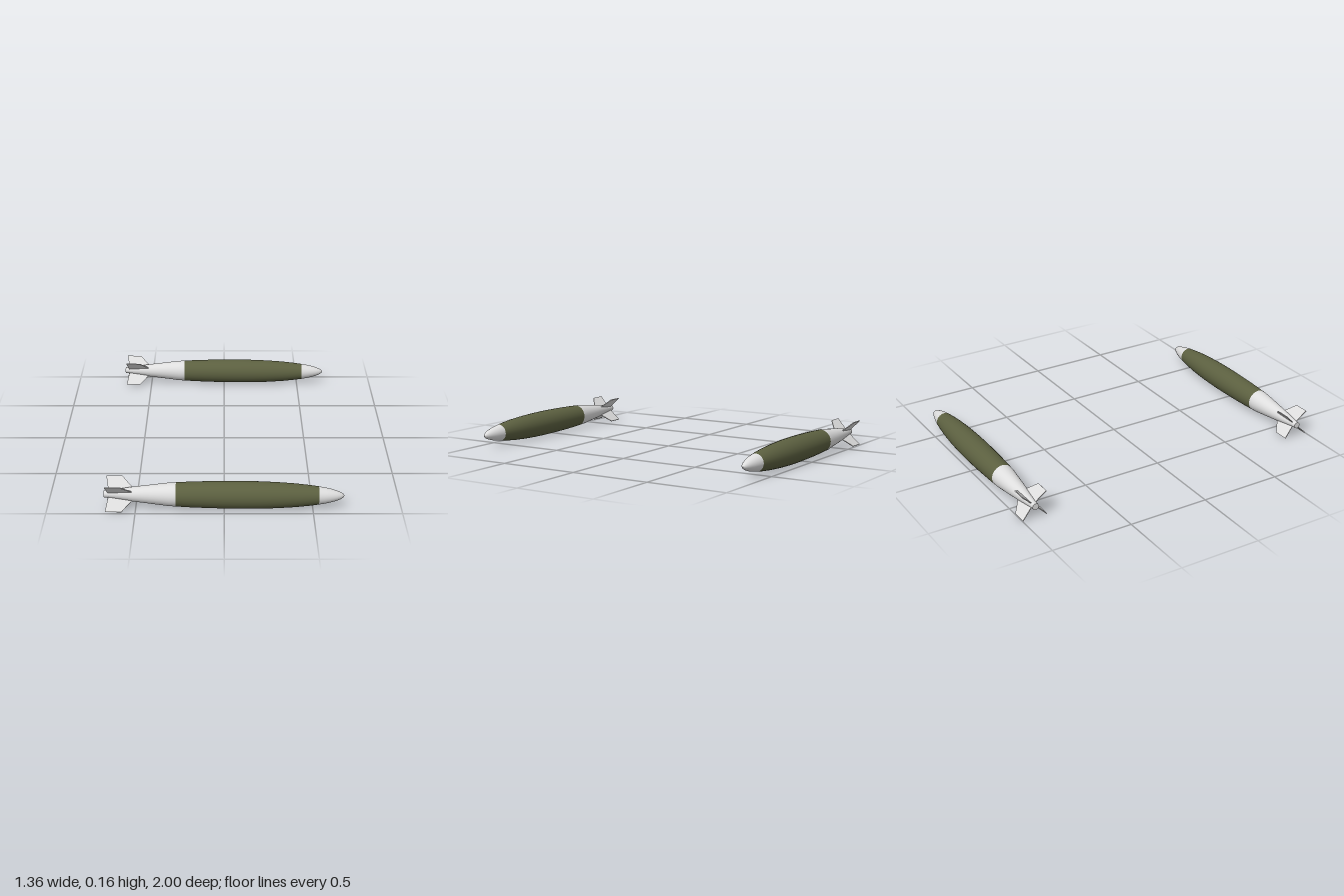
import * as THREE from 'three';

const paintedMetal = new THREE.MeshStandardMaterial({ color: 0xdedede });
paintedMetal.name = 'lightGrey';
const olive = new THREE.MeshStandardMaterial({ color: 0x5c6040 });
olive.name = 'oliveGreen';

// Surface of revolution along +x from [x, radius] pairs, tail to nose
function turned(name, profile, material) {
  const points = profile.map(([x, r]) => new THREE.Vector2(r, x));
  const geometry = new THREE.LatheGeometry(points, 32);
  geometry.rotateZ(-Math.PI / 2);
  const mesh = new THREE.Mesh(geometry, material);
  mesh.name = name;
  return mesh;
}

// Swept tail fin: thin plate whose root sits inside the tail cone
function finGeometry() {
  const thickness = 0.005;
  const shape = new THREE.Shape();
  shape.moveTo(-0.652, 0.012);
  shape.lineTo(-0.668, 0.107);
  shape.lineTo(-0.576, 0.107);
  shape.lineTo(-0.52, 0.042);
  shape.lineTo(-0.52, 0.012);
  shape.closePath();
  const geometry = new THREE.ExtrudeGeometry(shape, { depth: thickness, bevelEnabled: false });
  return geometry.translate(0, 0, -thickness / 2);
}

function createStore(name) {
  const store = new THREE.Group();
  store.name = name;

  // Body sections
  store.add(
    turned('tailCap', [[-0.679, 0], [-0.679, 0.0195]], paintedMetal),
    turned('tailCone', [[-0.679, 0.0195], [-0.652, 0.021], [-0.52, 0.041],
      [-0.31, 0.0665], [-0.272, 0.0685]], paintedMetal),
    turned('midBody', [[-0.272, 0.0685], [-0.2, 0.0722], [-0.1, 0.0757], [0, 0.0777],
      [0.1, 0.0785], [0.2, 0.0772], [0.3, 0.0735], [0.4, 0.067], [0.48, 0.0587],
      [0.533, 0.0515]], olive),
    turned('noseCone', [[0.533, 0.0515], [0.57, 0.0455], [0.605, 0.0375], [0.635, 0.0285],
      [0.657, 0.0195], [0.671, 0.01], [0.678, 0]], paintedMetal)
  );

  // Four fins in an X arrangement
  const geometry = finGeometry();
  for (let i = 0; i < 4; i++) {
    const fin = new THREE.Mesh(geometry, paintedMetal);
    fin.name = `tailFin${i + 1}`;
    fin.rotation.x = Math.PI / 4 + i * Math.PI / 2;
    store.add(fin);
  }
  return store;
}

export function createModel() {
  const model = new THREE.Group();
  model.name = 'storePair';
  // Both hang with a very slight nose-down, nose-forward tilt
  for (const [name, z] of [['frontStore', 0.921], ['rearStore', -0.92]]) {
    const store = createStore(name);
    store.position.set(0, 0.079, z);
    store.rotation.set(0, -0.007, -0.005);
    model.add(store);
  }
  return model;
}
